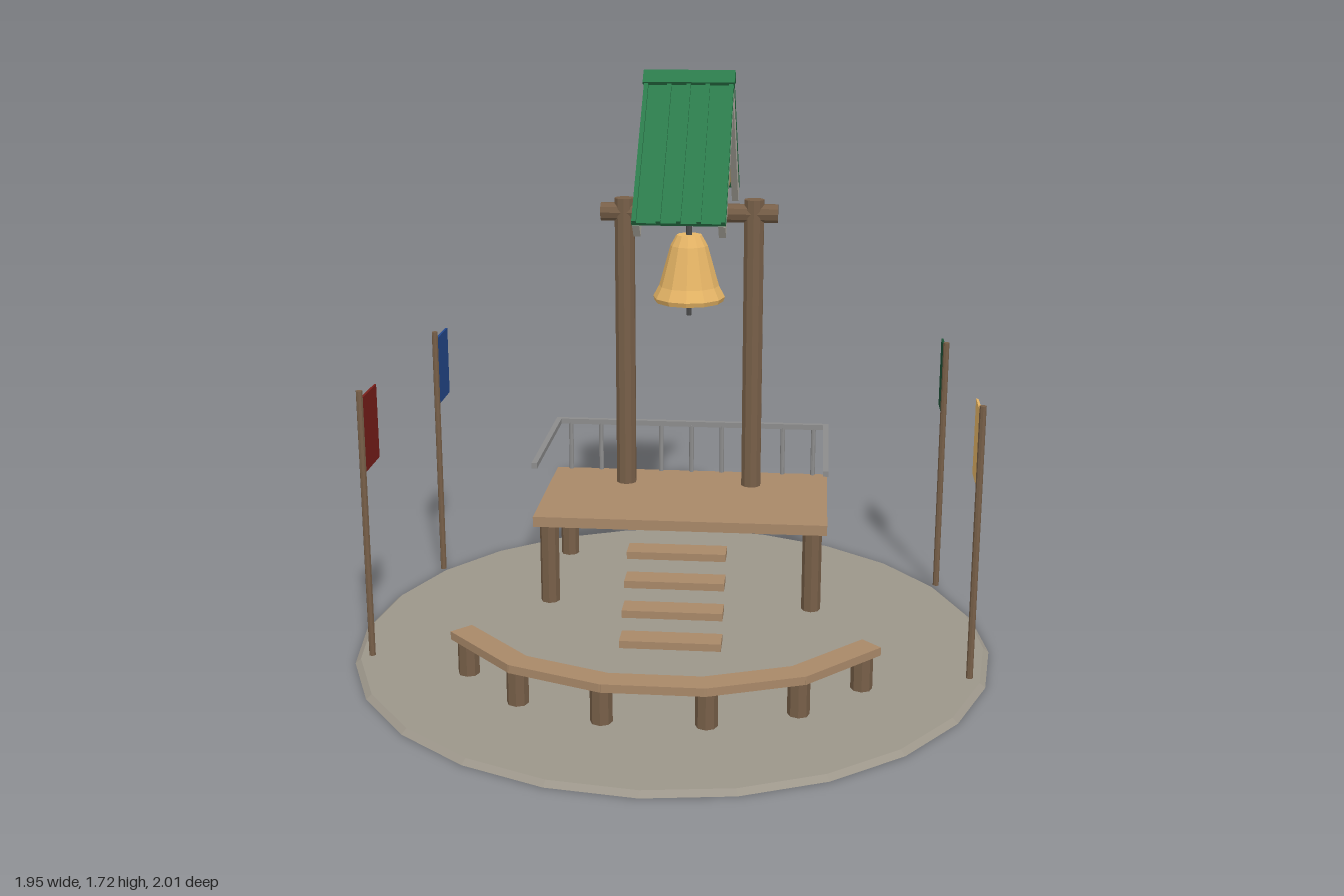
import * as THREE from 'three';

const mat = (color) => new THREE.MeshStandardMaterial({ color, flatShading: true });

export function createModel() {
  const root = new THREE.Group();
  const M = {
    ground: mat(0x9c968a), board: mat(0xa88868), log: mat(0x775f48), rail: mat(0x8c8c8c),
    roof: mat(0x2b7a4b), trim: mat(0xb8b4aa), gable: mat(0xa8935f), gold: mat(0xe6b566),
    red: mat(0x7a1f1a), blue: mat(0x24488c), green: mat(0x1d5236), iron: mat(0x4a4a4a),
  };
  M.gold.side = THREE.DoubleSide;

  const add = (parent, name, geo, material, x = 0, y = 0, z = 0) => {
    const m = new THREE.Mesh(geo, material);
    m.name = name;
    m.position.set(x, y, z);
    parent.add(m);
    return m;
  };
  const box = (parent, name, material, w, h, d, x, y, z) =>
    add(parent, name, new THREE.BoxGeometry(w, h, d), material, x, y, z);
  // upright round post from y0 to y1
  const post = (parent, name, material, r, y0, y1, x, z, sides = 8) =>
    add(parent, name, new THREE.CylinderGeometry(r, r, y1 - y0, sides), material, x, (y0 + y1) / 2, z);
  const group = (name, parent = root) => {
    const g = new THREE.Group();
    g.name = name;
    parent.add(g);
    return g;
  };

  // Ground disc
  add(root, 'ground', new THREE.CylinderGeometry(0.96, 0.977, 0.014, 24), M.ground, 0, 0.007, 0.018);

  // Raised platform
  const platform = group('platform');
  box(platform, 'deck', M.board, 0.95, 0.034, 0.52, 0, 0.299, -0.46);
  for (const x of [-0.428, 0.428]) {
    for (const z of [-0.24, -0.675]) post(platform, 'platformLeg', M.log, 0.031, 0.01, 0.285, x, z);
  }

  // Railing: back rail with balusters, plain side rails
  const railing = group('railing');
  box(railing, 'backRail', M.rail, 0.95, 0.018, 0.018, 0, 0.49, -0.715);
  for (const x of [-0.466, 0.466]) box(railing, 'sideRail', M.rail, 0.018, 0.018, 0.52, x, 0.49, -0.46);
  for (let i = -4; i <= 4; i++) post(railing, 'baluster', M.rail, 0.008, 0.31, 0.485, i * 0.106, -0.713);

  // Floating steps
  const steps = group('steps');
  for (let i = 0; i < 4; i++) {
    box(steps, 'step', M.board, 0.314, 0.024, 0.08, 0, 0.027 + i * 0.069, 0.083 - i * 0.0735);
  }

  // Bell frame
  const CZ = -0.588;
  const frame = group('bellFrame');
  for (const x of [-0.214, 0.214]) post(frame, 'bellPost', M.log, 0.034, 0.3, 1.3, x, CZ, 10);
  const beam = post(frame, 'crossbeam', M.log, 0.031, -0.292, 0.292, 0, CZ, 10);
  beam.position.y = 1.254;
  beam.rotation.z = Math.PI / 2;

  // Bell with clapper
  const bell = group('bell');
  const profile = [[0, 1.18], [0.042, 1.18], [0.062, 1.145], [0.083, 1.07], [0.1, 1.01], [0.12, 0.972],
    [0.115, 0.957], [0.103, 0.962], [0.085, 1.01], [0.068, 1.07], [0.045, 1.14], [0, 1.16]];
  // listed top to bottom, so reverse to face outwards
  add(bell, 'bellShell', new THREE.LatheGeometry(
    profile.map(([r, y]) => new THREE.Vector2(r, y)).reverse(), 12), M.gold, 0, 0, CZ);
  post(bell, 'clapper', M.iron, 0.009, 0.908, 1.165, 0, CZ);
  post(bell, 'bellHanger', M.iron, 0.01, 1.17, 1.24, 0, CZ);

  // Gabled roof; each slope is built flat, then tilted
  const roof = group('roof');
  roof.position.set(0, 1.684, CZ);
  for (const turn of [0, Math.PI]) {
    const side = group('roofSide', roof);
    side.rotation.y = turn;
    const slope = group('roofSlope', side);
    slope.rotation.x = Math.PI / 4;
    box(slope, 'roofSheet', M.roof, 0.29, 0.012, 0.57, 0, 0.006, 0.289);
    for (const x of [-0.137, -0.062, 0, 0.062, 0.137]) {
      box(slope, 'roofRib', M.roof, 0.014, 0.012, 0.57, x, 0.017, 0.289);
    }
    for (const x of [-0.132, 0.132]) box(slope, 'bargeBoard', M.trim, 0.022, 0.057, 0.576, x, -0.0285, 0.288);
    box(slope, 'ridgeCap', M.roof, 0.296, 0.014, 0.05, 0, 0.022, 0.008);
  }
  const tri = new THREE.Shape([[-0.365, -0.376], [0.365, -0.376], [0, -0.011]]
    .map(([x, y]) => new THREE.Vector2(x, y)));
  const gable = add(roof, 'gable',
    new THREE.ExtrudeGeometry(tri, { depth: 0.236, bevelEnabled: false }).translate(0, 0, -0.118), M.gable);
  gable.rotation.y = Math.PI / 2;

  // Curved bench of straight planks
  const bench = group('bench');
  const pts = [[-0.6, 0.305], [-0.4, 0.505], [-0.14, 0.6], [0.14, 0.6], [0.4, 0.505], [0.6, 0.305]];
  for (let i = 0; i < 5; i++) {
    const [ax, az] = pts[i], [bx, bz] = pts[i + 1];
    const plank = box(bench, 'benchPlank', M.board, Math.hypot(bx - ax, bz - az) + 0.02, 0.025, 0.075,
      (ax + bx) / 2, 0.128, (az + bz) / 2);
    plank.rotation.y = -Math.atan2(bz - az, bx - ax);
  }
  for (const s of [-1, 1]) {
    for (const [x, z] of [[0.58, 0.33], [0.4, 0.51], [0.147, 0.605]]) {
      post(bench, 'benchLeg', M.log, 0.032, 0.01, 0.12, s * x, z);
    }
  }

  // Flags on poles
  const flags = [[0.9, 0.235, M.gold], [0.85, -0.51, M.green], [-0.9, 0.235, M.red], [-0.85, -0.51, M.blue]];
  for (const [x, z, color] of flags) {
    const flag = group('flag');
    post(flag, 'flagPole', M.log, 0.01, 0.002, 0.85, x, z);
    box(flag, 'flagCloth', color, 0.007, 0.23, 0.165, x, 0.708, z - 0.088);
  }
  return root;
}
